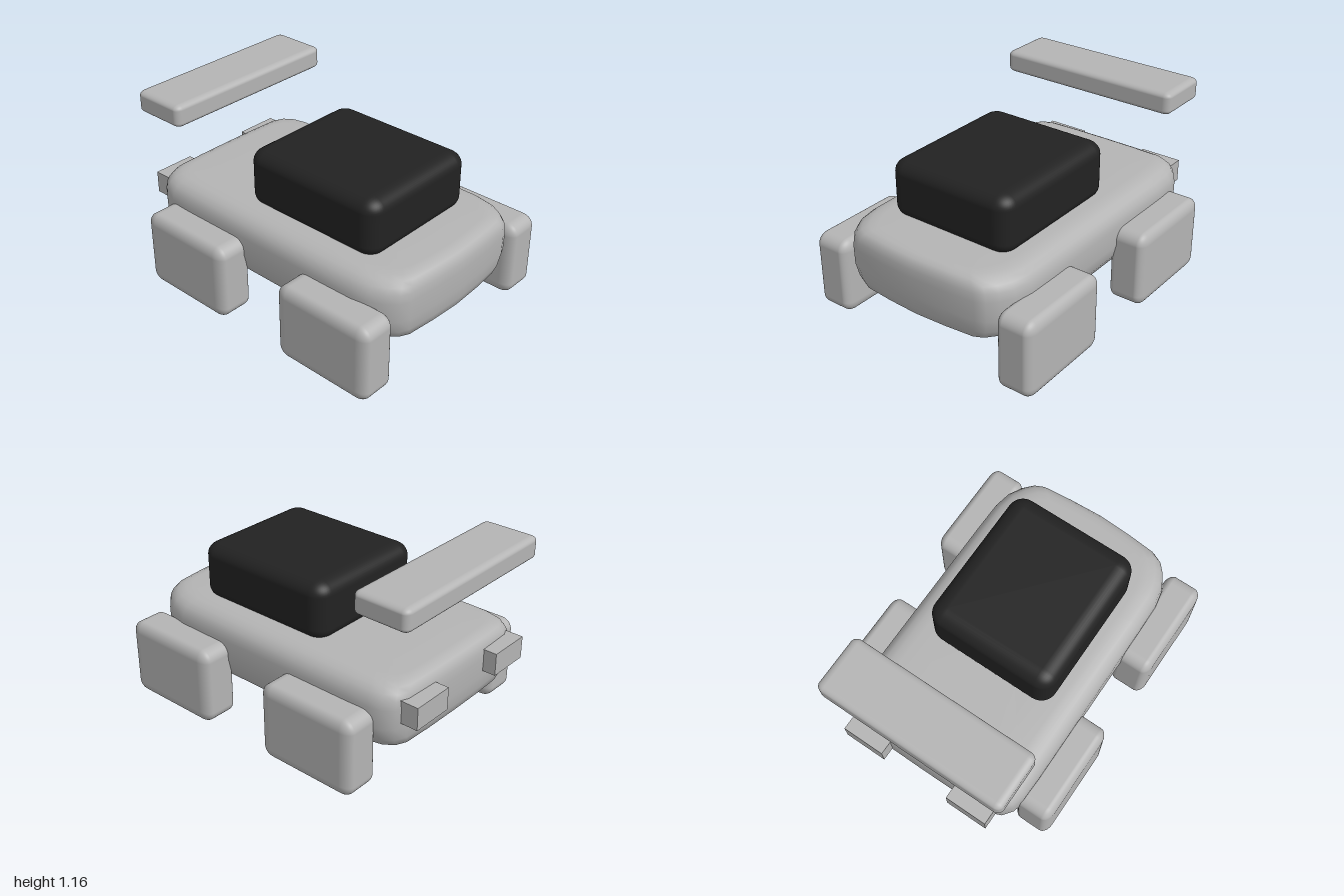
import * as THREE from 'three';
import { RoundedBoxGeometry } from 'three/addons/geometries/RoundedBoxGeometry.js';

const grey = new THREE.MeshStandardMaterial({ color: 0xb4b4b4 });
grey.name = 'light grey';
const black = new THREE.MeshStandardMaterial({ color: 0x222222 });
black.name = 'black';

// Box between two corners, with a separate rounding radius on each axis
function softBox(name, material, min, max, radii) {
  const size = max.map((v, i) => v - min[i]);
  const geometry = new RoundedBoxGeometry(...size.map((s, i) => s / radii[i]), 5, 1);
  geometry.scale(...radii);
  const mesh = new THREE.Mesh(geometry, material);
  mesh.name = name;
  mesh.position.set(...max.map((v, i) => (v + min[i]) / 2));
  return mesh;
}

// Body lofted from a bowed plan outline, pulled in towards top and bottom
function bodyGeometry() {
  const half = [
    [0, 1], [0.22, 0.99], [0.42, 0.972], [0.48, 0.945], [0.53, 0.89], [0.575, 0.81], [0.597, 0.7],
    [0.6, 0.5], [0.6, -0.6], [0.595, -0.74], [0.575, -0.82], [0.53, -0.88], [0.46, -0.91], [0.25, -0.918], [0, -0.92],
  ];
  const outline = [...half, ...half.slice(1, -1).reverse().map(([x, z]) => [-x, z])];
  // Height, inset in x, inset in z
  const levels = [
    [0.215, 0.3, 0.3], [0.218, 0.15, 0.1], [0.228, 0.09, 0.06], [0.25, 0.05, 0.03], [0.3, 0.02, 0.015],
    [0.38, 0, 0.003], [0.5, 0, 0], [0.55, 0.008, 0.003], [0.585, 0.03, 0.012], [0.61, 0.06, 0.03],
    [0.624, 0.1, 0.06], [0.63, 0.15, 0.1], [0.633, 0.3, 0.3],
  ];
  const n = outline.length;
  const positions = [];
  const index = [];
  for (const [y, ix, iz] of levels) {
    for (const [x, z] of outline) {
      positions.push(x * (1 - ix / 0.6), y, 0.04 + (z - 0.04) * (1 - iz / 0.96));
    }
  }
  const bottom = levels.length * n;
  const top = bottom + 1;
  positions.push(0, 0.215, 0.04, 0, 0.633, 0.04);
  const last = (levels.length - 1) * n;
  for (let i = 0; i < n; i++) {
    const j = (i + 1) % n;
    for (let k = 0; k < levels.length - 1; k++) {
      const a = k * n + i, b = k * n + j;
      index.push(a, a + n, b, b, a + n, b + n);
    }
    index.push(bottom, i, j, top, last + j, last + i);
  }
  // Outline runs from +z through +x, so the faces are flipped to point outwards
  for (let i = 0; i < index.length; i += 3) {
    const [a, b, c] = [0, 1, 2].map((k) => new THREE.Vector3().fromArray(positions, index[i + k] * 3));
    const normal = b.clone().sub(a).cross(c.clone().sub(a));
    const centre = a.clone().add(b).add(c).divideScalar(3).sub(new THREE.Vector3(0, 0.42, 0.04));
    if (normal.dot(centre) < 0) [index[i + 1], index[i + 2]] = [index[i + 2], index[i + 1]];
  }
  const geometry = new THREE.BufferGeometry();
  geometry.setAttribute('position', new THREE.Float32BufferAttribute(positions, 3));
  geometry.setIndex(index);
  geometry.computeVertexNormals();
  return geometry;
}

export function createModel() {
  const model = new THREE.Group();
  model.name = 'car';

  const body = new THREE.Mesh(bodyGeometry(), grey);
  body.name = 'body';
  model.add(body);

  model.add(softBox('cabin', black, [-0.42, 0.6, -0.26], [0.42, 0.965, 0.695], [0.1, 0.08, 0.1]));
  model.add(softBox('rearWing', grey, [-0.6, 1.018, -0.988], [0.6, 1.158, -0.63], [0.045, 0.03, 0.04]));

  for (const [side, s] of [['left', 1], ['right', -1]]) {
    // Block wheels
    for (const [end, z] of [['Front', 0.638], ['Rear', -0.448]]) {
      const wheel = softBox(side + end + 'Wheel', grey, [-0.118, 0, -0.328], [0.118, 0.482, 0.328], [0.05, 0.07, 0.075]);
      wheel.position.x = s * 0.663;
      wheel.position.z = z;
      model.add(wheel);
    }
    // Tail blocks
    const tail = new THREE.Mesh(new THREE.BoxGeometry(0.27, 0.14, 0.12), grey);
    tail.name = side + 'TailBlock';
    tail.position.set(s * 0.363, 0.485, -0.94);
    model.add(tail);
  }
  return model;
}
